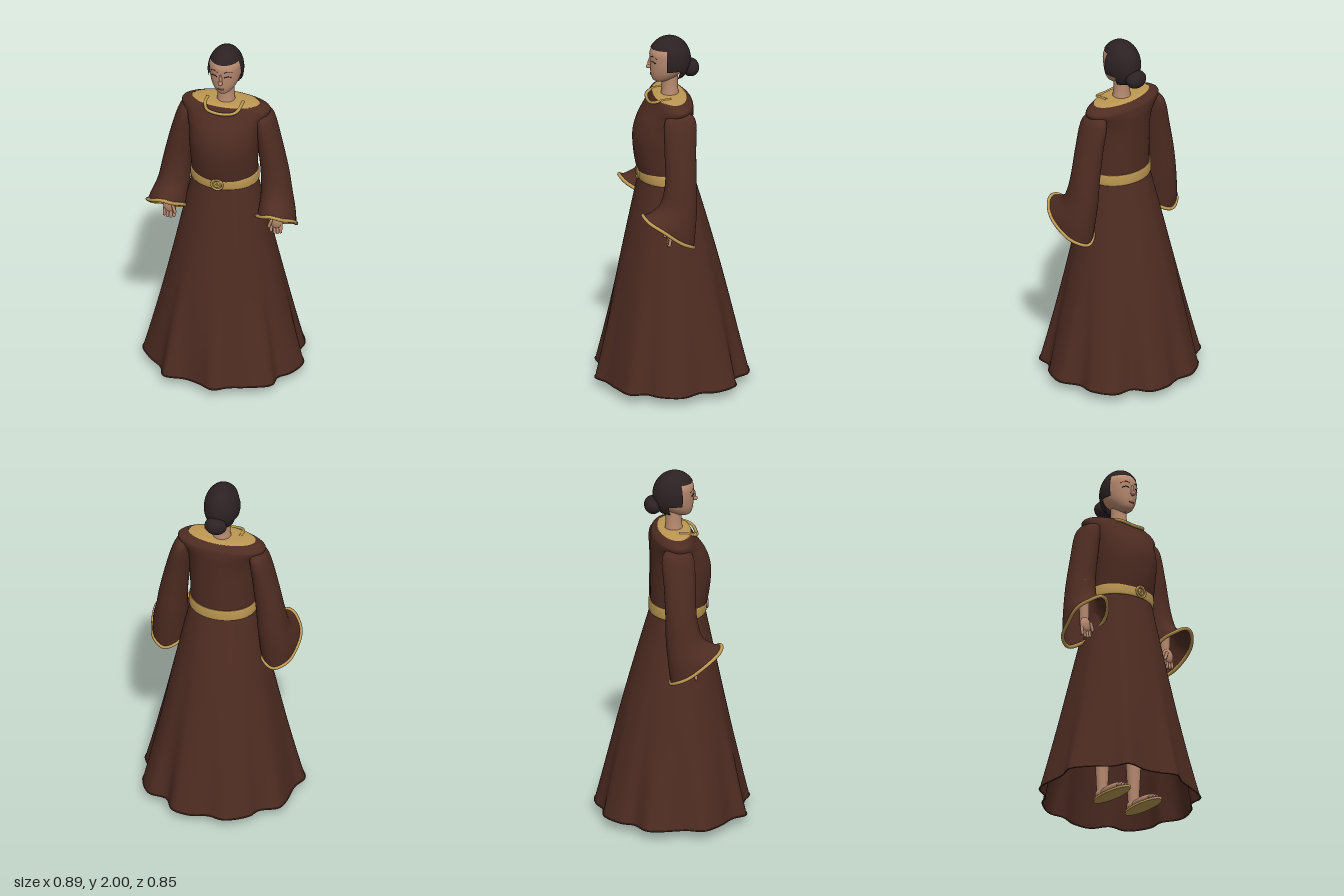
import * as THREE from 'three';

const mat = (name, color, side = THREE.FrontSide) => {
  const m = new THREE.MeshStandardMaterial({ color, side });
  m.name = name;
  return m;
};
const V = (x, y, z) => new THREE.Vector3(x, y, z);
const TAU = Math.PI * 2;

// Catmull-Rom resampling of rows of numbers, k steps per span
function smooth(rows, k = 5) {
  const out = [];
  const at = i => rows[Math.max(0, Math.min(rows.length - 1, i))];
  for (let i = 0; i < rows.length - 1; i++) {
    for (let j = 0; j < k; j++) {
      const t = j / k;
      out.push(rows[i].map((p1, c) => {
        const p0 = at(i - 1)[c], p2 = at(i + 1)[c], p3 = at(i + 2)[c];
        return p1 + 0.5 * t * (p2 - p0 + t * (2 * p0 - 5 * p1 + 4 * p2 - p3 + t * (3 * (p1 - p2) + p3 - p0)));
      }));
    }
  }
  out.push(rows[rows.length - 1]);
  return out;
}

// Smooth skin over closed rings listed from bottom to top
function loft(rings) {
  const n = rings[0].length, index = [];
  for (let i = 0; i < rings.length - 1; i++) {
    for (let j = 0; j < n; j++) {
      const a = i * n + j, b = i * n + (j + 1) % n;
      index.push(a, a + n, b, b, a + n, b + n);
    }
  }
  const g = new THREE.BufferGeometry().setFromPoints(rings.flat());
  g.setIndex(index);
  g.computeVertexNormals();
  return g;
}

const ring = (n, f) => Array.from({ length: n }, (_, i) => f(Math.cos(i / n * TAU), Math.sin(i / n * TAU), i / n * TAU));
// Body section: height, half width, front z, back z
const section = ([y, rx, zf, zb], n = 64) =>
  ring(n, (c, s) => V(rx * c, y, (zf + zb) / 2 + (zf - zb) / 2 * s));
const body = rows => loft(smooth(rows).map(r => section(r)));
const tube = (pts, r, closed = false, n = 40) =>
  new THREE.TubeGeometry(new THREE.CatmullRomCurve3(pts, closed), n, r, 8, closed);

export function createModel() {
  const model = new THREE.Group();
  const cloth = mat('brown cloth', 0x4e2c22, THREE.DoubleSide);
  const gold = mat('gold trim', 0xbd9852, THREE.DoubleSide);
  const skin = mat('skin', 0xb88a70);
  const hair = mat('dark hair', 0x2c2123, THREE.DoubleSide);
  const ink = mat('face line', 0x1c1315);
  const lip = mat('lip', 0x96604f);

  const add = (name, geo, material, parent = model) => {
    const m = new THREE.Mesh(geo, material);
    m.name = name;
    parent.add(m);
    return m;
  };
  const ball = (name, material, p, s, parent) => {
    const m = add(name, new THREE.SphereGeometry(1, 32, 24), material, parent);
    m.position.set(...p);
    m.scale.set(...s);
    return m;
  };

  // Skirt: waist oval blended into a wavy hem
  const hemPoints = [[.443, .017], [.405, .14], [.35, .2], [.34, .285], [.217, .345], [.12, .376], [.043, .42],
    [-.045, .38], [-.13, .355], [-.25, .355], [-.29, .275], [-.38, .19], [-.443, .09], [-.415, 0], [-.41, -.155],
    [-.39, -.215], [-.295, -.27], [-.26, -.335], [-.14, -.41], [-.045, -.4], [.05, -.425], [.157, -.405],
    [.217, -.32], [.324, -.3], [.395, -.18], [.39, -.095]].map(([x, z]) => V(x, .05, z));
  const hem = new THREE.CatmullRomCurve3(hemPoints, true).getPoints(144).slice(0, 144);
  const skirtRings = [];
  for (let i = 0; i <= 24; i++) {
    const s = 1 - i / 24, wave = s * s;
    skirtRings.push(hem.map(h => {
      const a = Math.atan2(h.z, h.x), c = Math.cos(a), sn = Math.sin(a);
      const x = THREE.MathUtils.lerp(.425 * c, h.x, wave), z = THREE.MathUtils.lerp(.405 * sn, h.z, wave);
      const hip = .02 * Math.sin(Math.PI * s) * Math.max(0, -sn);
      return V(THREE.MathUtils.lerp(.18 * c, x, s), 1.2 - 1.15 * s,
        THREE.MathUtils.lerp(.018 + .148 * sn, z, s) - hip);
    }));
  }
  add('skirt', loft(skirtRings), cloth);
  add('hemEdge', tube(hem, .004, true, 200), cloth);

  // Bodice with full shoulders, and the shoulder yoke
  add('bodice', body([[1.19, .182, .165, -.13], [1.3, .185, .19, -.13], [1.43, .193, .2, -.128],
    [1.52, .2, .178, -.128], [1.58, .22, .14, -.128], [1.61, .243, .117, -.125], [1.635, .247, .102, -.12],
    [1.655, .22, .09, -.1], [1.663, .19, .083, -.088]]), cloth);
  add('yoke', body([[1.662, .19, .088, -.09], [1.668, .13, .07, -.07], [1.67, .05, .04, -.045], [1.67, .002, .001, -.001]]), gold);
  add('neckline', tube([[-.1, 1.668, .01], [-.098, 1.66, .07], [-.075, 1.646, .108], [0, 1.636, .119],
    [.075, 1.646, .108], [.098, 1.66, .07], [.1, 1.668, .01]].map(p => V(...p)), .009), gold);

  // Belt and round buckle
  add('belt', body([[1.188, .178, .16, -.13], [1.19, .19, .174, -.139], [1.244, .189, .176, -.139], [1.246, .178, .16, -.13]]), gold);
  for (const r of [.031, .013]) {
    add('buckle', new THREE.TorusGeometry(r, .006, 10, 32), gold).position.set(0, 1.217, .178);
  }

  // Neck and head
  add('neck', body([[1.62, .058, .055, -.06], [1.67, .05, .045, -.052], [1.72, .045, .04, -.048], [1.79, .045, .04, -.048]]), skin);
  const head = [[1.74, .004, .055, .045], [1.745, .024, .078, .01], [1.757, .043, .092, -.02], [1.785, .064, .101, -.06],
    [1.82, .079, .105, -.09], [1.87, .088, .107, -.102], [1.92, .087, .104, -.1], [1.96, .06, .072, -.07], [1.985, .02, .02, -.02]];
  add('head', body(head), skin);
  const faceZ = (x, y) => {
    const i = head.findIndex(r => r[0] > y), a = head[i - 1], b = head[i], t = (y - a[0]) / (b[0] - a[0]);
    const [, rx, zf, zb] = a.map((v, k) => v + (b[k] - v) * t);
    return (zf + zb) / 2 + (zf - zb) / 2 * Math.sqrt(1 - (x / rx) ** 2) + .001;
  };
  const stroke = (name, pts, r, material) =>
    add(name, tube(pts.map(([x, y]) => V(x, y, faceZ(x, y))), r, false, 16), material);
  for (const s of [-1, 1]) {
    stroke('eyebrow', [[s * .018, 1.893], [s * .036, 1.9], [s * .06, 1.89]], .0025, ink);
    stroke('closedEye', [[s * .02, 1.864], [s * .036, 1.869], [s * .055, 1.862]], .0025, ink);
  }
  stroke('mouth', [[-.018, 1.786], [0, 1.783], [.018, 1.786]], .004, lip);
  ball('noseBridge', skin, [0, 1.85, .105], [.009, .032, .014]);
  ball('noseTip', skin, [0, 1.832, .114], [.013, .012, .015]);

  // Hair: cap with a straight fringe, side panels, nape and bun
  const hairPiece = (name, phi0, phiL, th0, thL) => {
    const m = add(name, new THREE.SphereGeometry(1, 48, 20, phi0, phiL, th0, thL), hair);
    m.position.set(0, 1.865, 0);
    m.scale.set(.098, .135, .12);
  };
  hairPiece('hairCap', 0, TAU, 0, 1.0);
  hairPiece('hairSides', Math.PI - .27, Math.PI + .54, .98, .94);
  hairPiece('hairNape', Math.PI + .4, Math.PI - .8, 1.9, .5);
  ball('bun', hair, [0, 1.808, -.118], [.062, .05, .048]);

  for (const s of [-1, 1]) {
    const arm = new THREE.Group();
    arm.name = s > 0 ? 'leftArm' : 'rightArm';
    model.add(arm);
    // Sleeve sections: x, y, z, half width, half depth, tilt
    const rows = smooth([[.31, .98, .07, .104, .14, .7], [.304, 1.03, .042, .099, .122, .5], [.29, 1.12, .008, .086, .1, .16],
      [.275, 1.25, -.007, .077, .086, 0], [.247, 1.42, -.01, .066, .087, 0], [.222, 1.55, -.015, .054, .09, 0],
      [.207, 1.605, -.018, .04, .07, 0], [.19, 1.63, -.018, .004, .01, 0]]);
    const cuff = ([x, y, z, rx, rz, tilt], i) => ring(48, (c, sn, a) => {
      const w = 1 + .035 * Math.sin(5 * a) * Math.max(0, 1 - i / 8);
      return V(s * x + rx * c * w, y + tilt * rz * sn + .01 * (w - 1) * 10, z + rz * sn);
    });
    const rings = rows.map(cuff);
    add('sleeve', loft(rings), cloth, arm);
    add('cuffTrim', tube(rings[0], .01, true, 96), gold, arm);

    // Forearm, palm, fingers and thumb
    const wrist = add('forearm', new THREE.CylinderGeometry(.032, .024, .26, 20), skin, arm);
    wrist.position.set(s * .297, 1.1, .045);
    ball('palm', skin, [s * .302, .965, .06], [.036, .045, .02], arm);
    for (let i = 0; i < 4; i++) {
      const f = add('finger', new THREE.CapsuleGeometry(.0085, .045, 4, 10), skin, arm);
      f.position.set(s * (.275 + i * .018), .92 + (i % 3 ? -.002 : .006), .064);
      f.rotation.x = -.15;
    }
    const thumb = add('thumb', new THREE.CapsuleGeometry(.009, .04, 4, 10), skin, arm);
    thumb.position.set(s * .272, .955, .08);
    thumb.rotation.z = -s * .3;

    // Leg, foot and flat sandal
    const leg = new THREE.Group();
    leg.name = s > 0 ? 'leftLeg' : 'rightLeg';
    leg.position.x = s * .115;
    model.add(leg);
    const shin = add('shin', new THREE.CylinderGeometry(.055, .03, .55, 20), skin, leg);
    shin.position.set(0, .31, -.01);
    ball('heel', skin, [0, .035, -.015], [.032, .03, .04], leg);
    ball('foot', skin, [0, .033, .075], [.036, .028, .1], leg);
    for (let i = -2; i <= 2; i++) {
      ball('toe', skin, [i * .014, .024, .175 - Math.abs(i) * .008], [.009, .011, .018], leg);
    }
    const sole = add('sandalSole', new THREE.CylinderGeometry(1, 1, .013, 40), gold, leg);
    sole.position.set(0, .0065, .07);
    sole.scale.set(.046, 1, .142);
  }
  return model;
}
